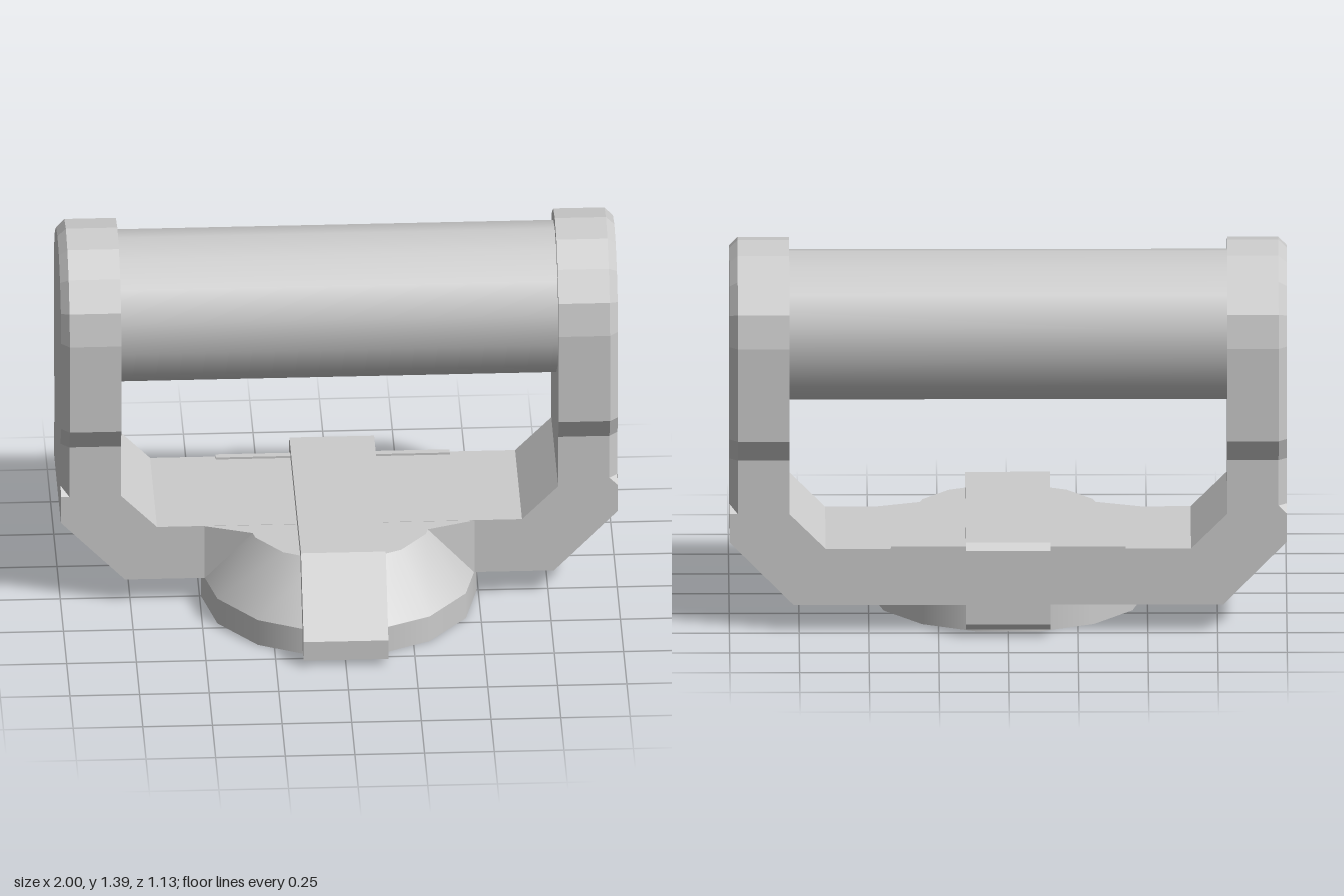
import * as THREE from 'three';

const ARM_Z = -0.215;   // centre plane of bracket and roller
const HALF = 0.267;     // half depth of the bracket
const SIDES = 14;

const flat = new THREE.MeshStandardMaterial({ color: 0xcccccc, flatShading: true });
const smooth = new THREE.MeshStandardMaterial({ color: 0xcccccc, side: THREE.DoubleSide });

function add(parent, name, geometry, material = flat) {
  const mesh = new THREE.Mesh(geometry, material);
  mesh.name = name;
  parent.add(mesh);
  return mesh;
}

function extrude(points, depth) {
  const shape = new THREE.Shape(points.map(([x, y]) => new THREE.Vector2(x, y)));
  return new THREE.ExtrudeGeometry(shape, { depth, bevelEnabled: false });
}

// Joins equal-length closed sections and fans the two ends shut.
function loft(sections) {
  const out = [];
  const tri = (...pts) => pts.forEach((p) => out.push(p.x, p.y, p.z));
  const n = sections[0].length;
  const centre = (s) => s.reduce((sum, p) => sum.add(p), new THREE.Vector3()).divideScalar(n);
  const first = sections[0], last = sections[sections.length - 1];
  const c0 = centre(first), c1 = centre(last);
  for (let i = 0; i < n; i++) {
    const j = (i + 1) % n;
    for (let s = 0; s + 1 < sections.length; s++) {
      const a = sections[s], b = sections[s + 1];
      tri(a[i], a[j], b[j]);
      tri(a[i], b[j], b[i]);
    }
    tri(c0, first[j], first[i]);
    tri(c1, last[i], last[j]);
  }
  const geometry = new THREE.BufferGeometry();
  geometry.setAttribute('position', new THREE.Float32BufferAttribute(out, 3));
  geometry.computeVertexNormals();
  return geometry;
}

// Arm outline: waisted sides with a round head; inset narrows the outer edge.
function armSection(x, inset) {
  const w = HALF - inset, r = 0.316 - inset;
  const right = [[HALF, 0.44], [w, 0.47], [w, 0.64], [r, 0.725]];
  const points = [...right];
  for (let i = 0; i <= 8; i++) {
    const a = (i / 8) * Math.PI;
    points.push([r * Math.cos(a), 1.07 + r * Math.sin(a)]);
  }
  points.push(...right.reverse().map(([a, y]) => [-a, y]));
  return points.map(([a, y]) => new THREE.Vector3(x, y, -a));
}

export function createModel() {
  const model = new THREE.Group();
  model.name = 'rollerStand';

  // U-shaped lower bracket
  const half = [[0.77, 0.1], [1, 0.335], [1, 0.44], [0.785, 0.44], [0.655, 0.31]];
  const bracket = [...half, ...half.map(([x, y]) => [-x, y]).reverse()];
  add(model, 'bracket', extrude(bracket, HALF * 2)).position.z = ARM_Z - HALF;

  // Round-headed arms, bevelled on their outer faces
  const armGeometry = loft([armSection(0.785, 0), armSection(0.97, 0), armSection(1, 0.03)]);
  for (const [name, turn] of [['leftArm', 0], ['rightArm', Math.PI]]) {
    const arm = add(model, name, armGeometry);
    arm.position.z = ARM_Z;
    arm.rotation.y = turn;
  }

  // Roller between the arms
  const roller = add(model, 'roller',
    new THREE.CylinderGeometry(0.273, 0.273, 1.6, SIDES, 1, true, Math.PI / 2), smooth);
  roller.rotation.z = Math.PI / 2;
  roller.position.set(0, 1.071, ARM_Z);

  // Hollow round base: upright band, sloping skirt and flat top
  const band = new THREE.CylinderGeometry(0.495, 0.495, 0.1, SIDES, 1, true, Math.PI / 2);
  add(model, 'baseBand', band, smooth).position.y = 0.05;
  const skirt = new THREE.CylinderGeometry(0.34, 0.495, 0.209, SIDES, 1, true, Math.PI / 2);
  add(model, 'baseSkirt', skirt, smooth).position.y = 0.2045;
  const top = add(model, 'baseTop', new THREE.CircleGeometry(0.34, SIDES), smooth);
  top.rotation.x = -Math.PI / 2;
  top.position.y = 0.309;

  // Gussets blending the bracket front into the skirt
  for (const side of [-1, 1]) {
    const gusset = add(model, side > 0 ? 'leftGusset' : 'rightGusset',
      extrude([[side * 0.49, -0.05], [side * 0.309, -0.115], [side * 0.309, -0.05]], 0.209));
    gusset.rotation.x = -Math.PI / 2;
    gusset.position.y = 0.1;
  }

  // Thin lip along the rear top edge
  add(model, 'rearLip', new THREE.BoxGeometry(0.84, 0.02, 0.025)).position.set(0, 0.308, -0.471);

  // Strap clamped over the bracket and base, front to back
  const strap = [
    [-0.565, 0.025], [-0.475, 0.025], [-0.475, 0.1], [0.46, 0.1], [0.46, 0.025],
    [0.54, 0.025], [0.562, 0.05], [0.562, 0.325], [0.54, 0.35], [-0.355, 0.35], [-0.565, 0.1],
  ];
  const strapMesh = add(model, 'strap', extrude(strap, 0.304));
  strapMesh.rotation.y = Math.PI / 2;
  strapMesh.position.x = -0.152;

  return model;
}
